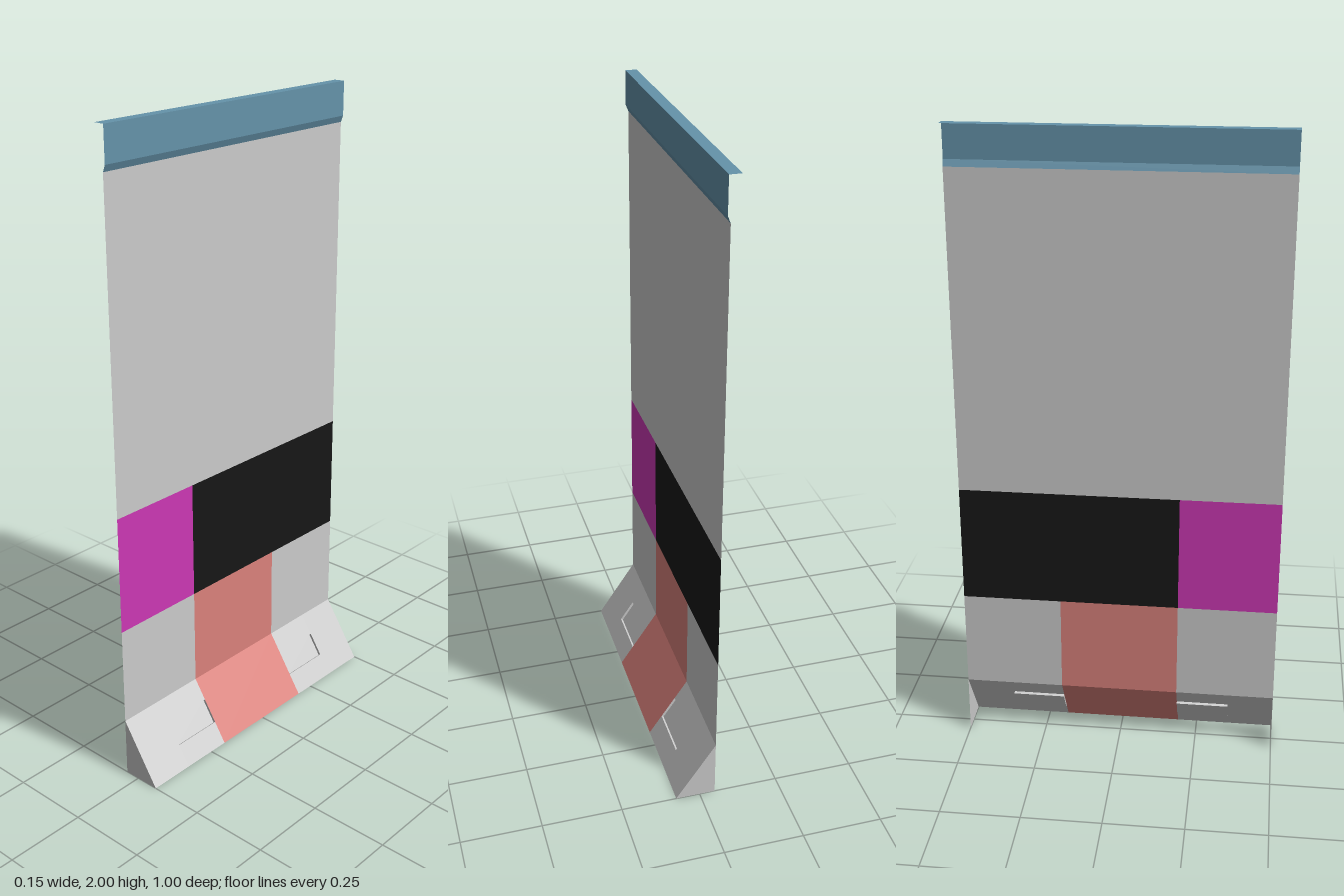
import * as THREE from 'three';

const GREY = 0xcccccc, RED = 0xda817c, MAGENTA = 0xcc38b4, BLACK = 0x171717, TEAL = 0x6593aa;
const WALL_X = -0.049, FOOT_X = 0.076, SLOPE_Y = 0.1875, HALF = 0.5, MID = 0.1875;

function addMesh(group, name, geometry, color) {
  const material = new THREE.MeshStandardMaterial({ color, flatShading: true, side: THREE.DoubleSide });
  const mesh = new THREE.Mesh(geometry, material);
  mesh.name = name;
  group.add(mesh);
}

// Thin folded sheet: a profile of [x, y] points, listed downwards, swept from z0 to z1
function sheet(profile, z0, z1) {
  const pos = [];
  for (let i = 0; i < profile.length - 1; i++) {
    const [ax, ay] = profile[i], [bx, by] = profile[i + 1];
    pos.push(ax, ay, z0, ax, ay, z1, bx, by, z1, ax, ay, z0, bx, by, z1, bx, by, z0);
  }
  const g = new THREE.BufferGeometry();
  g.setAttribute('position', new THREE.Float32BufferAttribute(pos, 3));
  g.computeVertexNormals();
  return g;
}

// Flat plate in the xy plane at a given z
function plate(points, z) {
  const shape = new THREE.Shape(points.map(([x, y]) => new THREE.Vector2(x, y)));
  return new THREE.ShapeGeometry(shape).translate(0, 0, z);
}

// Point on the sloped base at height y, sunk by a depth along its normal
function onSlope(y, depth = 0) {
  const w = FOOT_X - WALL_X, len = Math.hypot(w, SLOPE_Y);
  return [WALL_X + w * (1 - y / SLOPE_Y) - depth * SLOPE_Y / len, y - depth * w / len];
}

export function createModel() {
  const group = new THREE.Group();
  group.name = 'wallPanel';
  const wall = (name, y1, y0, z0, z1, color) =>
    addMesh(group, name, sheet([[WALL_X, y1], [WALL_X, y0]], z0, z1), color);

  // Upright wall with its coloured bands
  wall('upperWall', 1.875, 0.875, -HALF, HALF, GREY);
  wall('blackBand', 0.875, 0.5, -HALF, MID, BLACK);
  wall('magentaBand', 0.875, 0.5, MID, HALF, MAGENTA);

  // Red strip running down the wall and over the slope
  const top = onSlope(SLOPE_Y), foot = onSlope(0);
  addMesh(group, 'redStrip', sheet([[WALL_X, 0.5], top, foot], -MID, MID), RED);

  // Sloped base with a shallow recess on each side of the strip
  const depth = 0.008, yTop = 0.127, yLow = 0.061, recessEnd = 0.354;
  const recess = [onSlope(yTop), onSlope(yTop, depth), onSlope(yLow, depth), onSlope(yLow)];
  for (const s of [-1, 1]) {
    const side = s > 0 ? 'left' : 'right';
    const span = (a, b) => (s > 0 ? [a, b] : [-b, -a]);
    wall(side + 'LowerWall', 0.5, SLOPE_Y, ...span(MID, HALF), GREY);
    addMesh(group, side + 'SlopeOuter', sheet([top, foot], ...span(recessEnd, HALF)), GREY);
    addMesh(group, side + 'SlopeRecess', sheet([top, ...recess, foot], ...span(MID, recessEnd)), GREY);
    for (const z of [MID, recessEnd]) addMesh(group, side + 'RecessEnd', plate(recess, s * z), GREY);
    // Triangular end closing the base
    addMesh(group, side + 'EndCap', plate([[WALL_X, 0], foot, top], s * HALF), GREY);
  }

  // Top trim: flat lip, upright face and slanted lower return
  const trim = [[-0.076, 2], [-0.041, 2], [-0.041, 1.895], [WALL_X, 1.875]];
  addMesh(group, 'topTrim', sheet(trim, -HALF, HALF), TEAL);

  return group;
}
